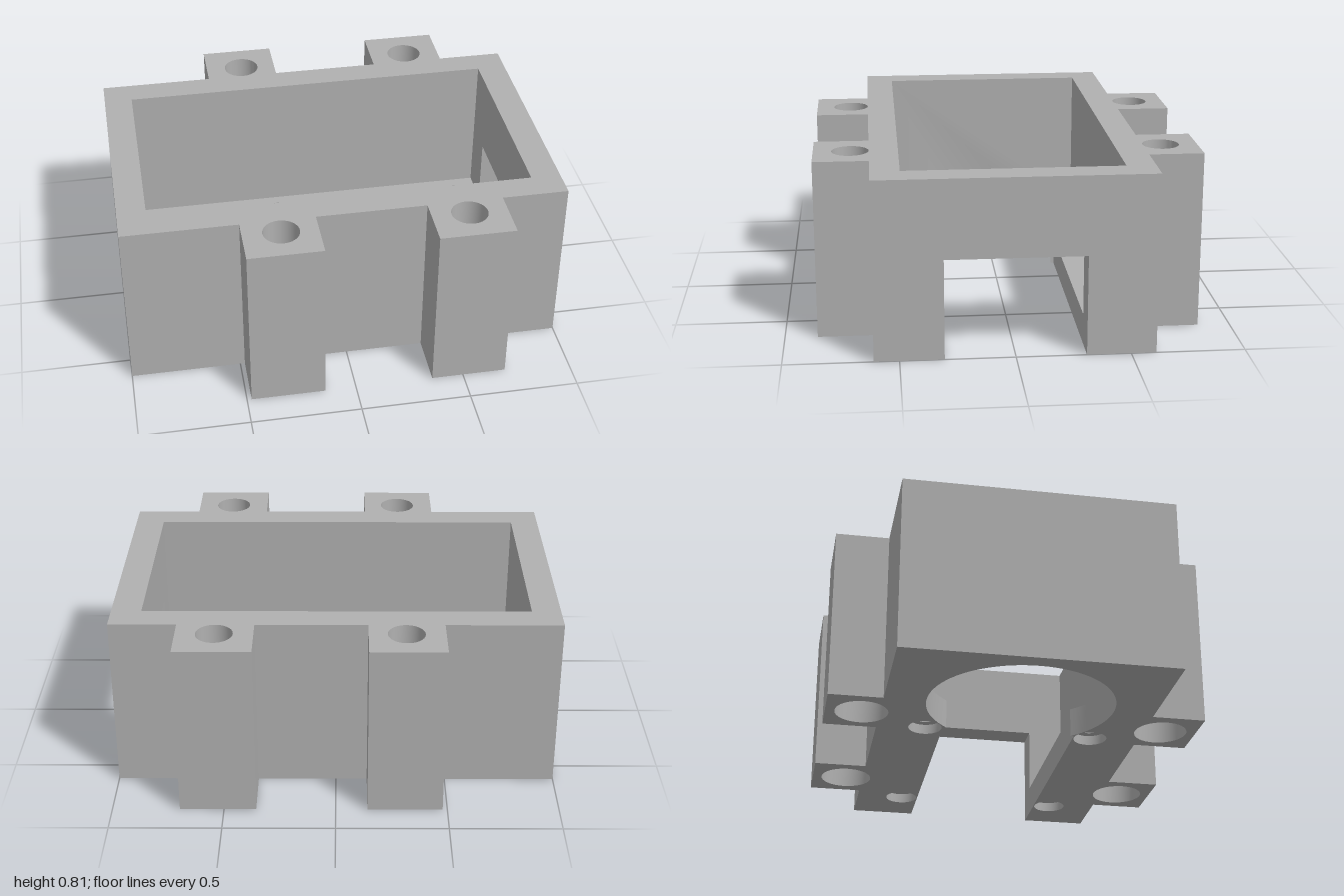
import * as THREE from 'three';
import { mergeGeometries, toCreasedNormals } from 'three/addons/utils/BufferGeometryUtils.js';

const H = 0.805, FLOOR = 0.135, NOTCH_TOP = 0.45, RECESS_TOP = 0.175;
const BODY = 0.61, TAB = 0.855;                       // half depths
const CAV = { x0: -0.87, x1: 0.865, z: 0.481 };       // inner cavity
const SLOT = { x: -0.195, z: 0.307 };                 // cable slot through floor and end wall
const ROUND = { x: -0.5, r: 0.4225 };                 // round opening in the floor

const fromTriangles = (tris) => {
  const g = new THREE.BufferGeometry();
  g.setAttribute('position', new THREE.Float32BufferAttribute(tris.flat(2), 3));
  g.computeVertexNormals();
  return g;
};

// Vertical wall along a path of [x, z] points; faces the left of a +x run seen from below
const wall = (pts, y0, y1) => {
  const tris = [];
  for (let i = 0; i + 1 < pts.length; i++) {
    const [ax, az] = pts[i], [bx, bz] = pts[i + 1];
    tris.push([[ax, y0, az], [bx, y0, bz], [bx, y1, bz]], [[ax, y0, az], [bx, y1, bz], [ax, y1, az]]);
  }
  return fromTriangles(tris);
};

// Flat face with holes, placed by a mapping and turned to the wanted direction
const face = (outline, holes, place, dir) => {
  const toV = (l) => l.map(([u, v]) => new THREE.Vector2(u, v));
  const shape = new THREE.Shape(toV(outline));
  shape.holes = holes.map((h) => new THREE.Path(toV(h)));
  const g = new THREE.ShapeGeometry(shape).toNonIndexed(), p = g.attributes.position;
  const tris = [];
  for (let i = 0; i < p.count; i += 3) {
    const t = [0, 1, 2].map((k) => new THREE.Vector3(...place(p.getX(i + k), p.getY(i + k))));
    const n = t[1].clone().sub(t[0]).cross(t[2].clone().sub(t[0]));
    if (n.dot(dir) < 0) t.reverse();
    tris.push(t.map((v) => v.toArray()));
  }
  return fromTriangles(tris);
};
const level = (outline, holes, y, up) =>
  face(outline, holes, (x, z) => [x, y, z], new THREE.Vector3(0, up, 0));

// End wall face with a rectangular notch in its lower edge
const endFace = (x, half, base, nz, ny, dir) =>
  face([[-half, base], [-nz, base], [-nz, ny], [nz, ny], [nz, base], [half, base], [half, H], [-half, H]],
    [], (z, y) => [x, y, z], new THREE.Vector3(dir, 0, 0));

const arc = (cx, cz, r, t0, t1, n) => Array.from({ length: n + 1 }, (_, i) => {
  const t = t0 + (t1 - t0) * i / n;
  return [cx + r * Math.cos(t), cz + r * Math.sin(t)];
});
const circle = (x, z, r) => arc(x, z, r, 0, Math.PI * 2, 40);
const ring = (x, z, r) => circle(x, z, r).slice(0, -1);
const flipZ = (pts) => pts.map(([x, z]) => [x, -z]).reverse();

export function createModel() {
  const group = new THREE.Group();
  const grey = new THREE.MeshStandardMaterial({ color: 0xb0b0b0 });
  grey.name = 'grey';
  const add = (name, parts) => {
    const mesh = new THREE.Mesh(toCreasedNormals(mergeGeometries(parts), 0.5), grey);
    mesh.name = name;
    group.add(mesh);
  };

  // Hole positions
  const screws = [], pins = [];
  for (const s of [-1, 1]) {
    for (const x of [-0.307, 0.527]) screws.push([x, s * 0.692]);
    for (const x of [-0.179, 0.762]) pins.push([x, s * 0.388]);
  }
  const rings = (list, r) => list.map(([x, z]) => ring(x, z, r));

  // Outline with four tabs, from the back right corner round to the front right
  const front = [[-1, BODY], [-0.479, BODY], [-0.479, TAB], [-0.142, TAB], [-0.142, BODY],
    [0.356, BODY], [0.356, TAB], [0.698, TAB], [0.698, BODY], [1, BODY]];
  const outer = [...flipZ(front), ...front];

  // Keyhole opening: slot, then the round part, split where it runs under the end wall
  const a = Math.acos((SLOT.x - ROUND.x) / ROUND.r);
  const b = Math.acos((CAV.x0 - ROUND.x) / ROUND.r);
  const arcFront = arc(ROUND.x, 0, ROUND.r, a, b, 24);
  const arcEnd = arc(ROUND.x, 0, ROUND.r, b, 2 * Math.PI - b, 12);
  const arcBack = flipZ(arcFront);
  const slotFront = [[CAV.x1, SLOT.z], [SLOT.x, SLOT.z], ...arcFront];
  const keyhole = [[1, SLOT.z], [SLOT.x, SLOT.z], ...arcFront, ...arcEnd.slice(1, -1), ...arcBack,
    [SLOT.x, -SLOT.z], [1, -SLOT.z]];
  const cavity = [[CAV.x0, -CAV.z], [CAV.x1, -CAV.z], [CAV.x1, CAV.z], [CAV.x0, CAV.z]];
  const chord = ROUND.r * Math.sin(b);

  // Outer shell, rim and underside
  add('housing', [
    wall(outer, 0, H),
    endFace(1, BODY, 0, SLOT.z, NOTCH_TOP, 1),
    level(outer, [cavity, ...rings(screws, 0.082)], H, 1),
    level([...outer, ...keyhole], [...rings(screws, 0.121), ...rings(pins, 0.077)], 0, -1),
  ]);

  // Inside walls, floor ledges, slot and round opening
  const ledge = [...slotFront, [CAV.x0, CAV.z], [CAV.x1, CAV.z]];
  add('cavity', [
    wall([[CAV.x1, CAV.z], [CAV.x0, CAV.z]], FLOOR, H),
    wall([[CAV.x0, -CAV.z], [CAV.x1, -CAV.z]], FLOOR, H),
    endFace(CAV.x1, CAV.z, FLOOR, SLOT.z, NOTCH_TOP, -1),
    endFace(CAV.x0, CAV.z, FLOOR, chord, RECESS_TOP, 1),
    level(ledge, rings(pins.filter((p) => p[1] > 0), 0.043), FLOOR, 1),
    level(flipZ(ledge), rings(pins.filter((p) => p[1] < 0), 0.043), FLOOR, 1),
    wall(slotFront, 0, FLOOR),
    wall(flipZ(slotFront), 0, FLOOR),
    wall(arcEnd, 0, RECESS_TOP),
    level(arcEnd, [], RECESS_TOP, -1),
    wall([[1, SLOT.z], [CAV.x1, SLOT.z]], 0, NOTCH_TOP),
    wall([[CAV.x1, -SLOT.z], [1, -SLOT.z]], 0, NOTCH_TOP),
    level([[CAV.x1, -SLOT.z], [1, -SLOT.z], [1, SLOT.z], [CAV.x1, SLOT.z]], [], NOTCH_TOP, -1),
  ]);

  // Tab bores: wide below, narrow neck, medium above
  add('screwBores', screws.flatMap(([x, z]) => [
    wall(circle(x, z, 0.121), 0, 0.12),
    level(ring(x, z, 0.121), [ring(x, z, 0.068)], 0.12, -1),
    wall(circle(x, z, 0.068), 0.12, 0.55),
    level(ring(x, z, 0.082), [ring(x, z, 0.068)], 0.55, 1),
    wall(circle(x, z, 0.082), 0.55, H),
  ]));

  // Small counterbored holes in the floor
  add('floorHoles', pins.flatMap(([x, z]) => [
    wall(circle(x, z, 0.077), 0, 0.045),
    level(ring(x, z, 0.077), [ring(x, z, 0.043)], 0.045, -1),
    wall(circle(x, z, 0.043), 0.045, FLOOR),
  ]));

  return group;
}
